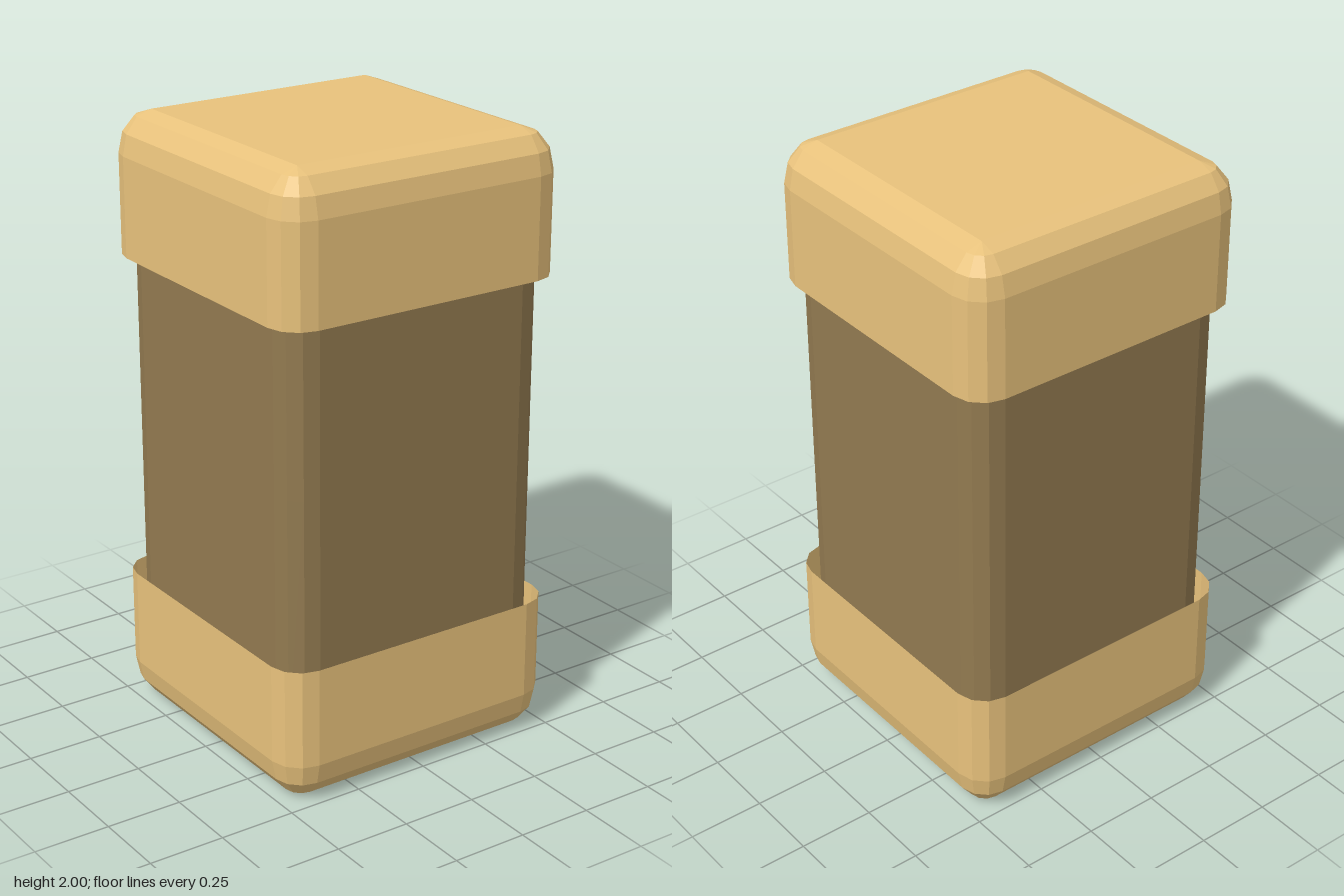
import * as THREE from 'three';

const CORE = 0.4;      // half width of the flat part of each face
const RADIUS = 0.105;  // horizontal corner radius
const RISE = 0.135;    // vertical height of the edge rounding
const STEPS = 3;       // facets per rounded corner

// One rounded-square loop, counter-clockwise seen from above
function ring(y, r) {
  const pts = [];
  for (let c = 0; c < 4; c++) {
    const mid = Math.PI / 4 + c * Math.PI / 2;
    const cx = Math.sign(Math.cos(mid)) * CORE;
    const cz = -Math.sign(Math.sin(mid)) * CORE;
    for (let s = 0; s <= STEPS; s++) {
      const a = (c + s / STEPS) * Math.PI / 2;
      pts.push(new THREE.Vector3(cx + r * Math.cos(a), y, cz - r * Math.sin(a)));
    }
  }
  return pts;
}

// Skin a stack of loops from bottom to top and close the upper end
function loft(rings) {
  const pos = [];
  const tri = (a, b, c) => {
    const area = b.clone().sub(a).cross(c.clone().sub(a)).length();
    if (area > 1e-8) for (const p of [a, b, c]) pos.push(p.x, p.y, p.z);
  };
  const n = rings[0].length;
  for (let i = 0; i < rings.length - 1; i++) {
    const lo = rings[i], hi = rings[i + 1];
    for (let j = 0; j < n; j++) {
      const k = (j + 1) % n;
      tri(lo[j], lo[k], hi[k]);
      tri(lo[j], hi[k], hi[j]);
    }
  }
  const top = rings[rings.length - 1];
  for (let j = 1; j < n - 1; j++) tri(top[0], top[j], top[j + 1]);
  const g = new THREE.BufferGeometry();
  g.setAttribute('position', new THREE.Float32BufferAttribute(pos, 3));
  g.computeVertexNormals();
  return g;
}

// Half of a rounded block: straight walls from y0, rounded over at y = 1
function halfBlock(y0) {
  const rings = [ring(y0, RADIUS)];
  for (let s = 0; s <= STEPS; s++) {
    const a = (s / STEPS) * Math.PI / 2;
    const r = s === STEPS ? 0 : RADIUS * Math.cos(a);
    rings.push(ring(1 - RISE + RISE * Math.sin(a), r));
  }
  return loft(rings);
}

export function createModel() {
  const model = new THREE.Group();
  model.name = 'cappedBlock';

  const capMaterial = new THREE.MeshStandardMaterial({
    color: 0xe8c27c, flatShading: true, side: THREE.DoubleSide,
  });
  const bodyMaterial = new THREE.MeshStandardMaterial({ color: 0x927a50, flatShading: true });

  const capGeometry = halfBlock(0.54);
  const bodyGeometry = halfBlock(0).scale(0.93, 0.93, 0.93);

  // Upper and lower halves are the same shape turned over
  for (const [side, turn] of [['upper', 0], ['lower', Math.PI]]) {
    const cap = new THREE.Mesh(capGeometry, capMaterial);
    cap.name = side + 'Cap';
    const body = new THREE.Mesh(bodyGeometry, bodyMaterial);
    body.name = side + 'Body';
    for (const mesh of [cap, body]) {
      mesh.position.y = 1;
      mesh.rotation.x = turn;
      model.add(mesh);
    }
  }
  return model;
}
